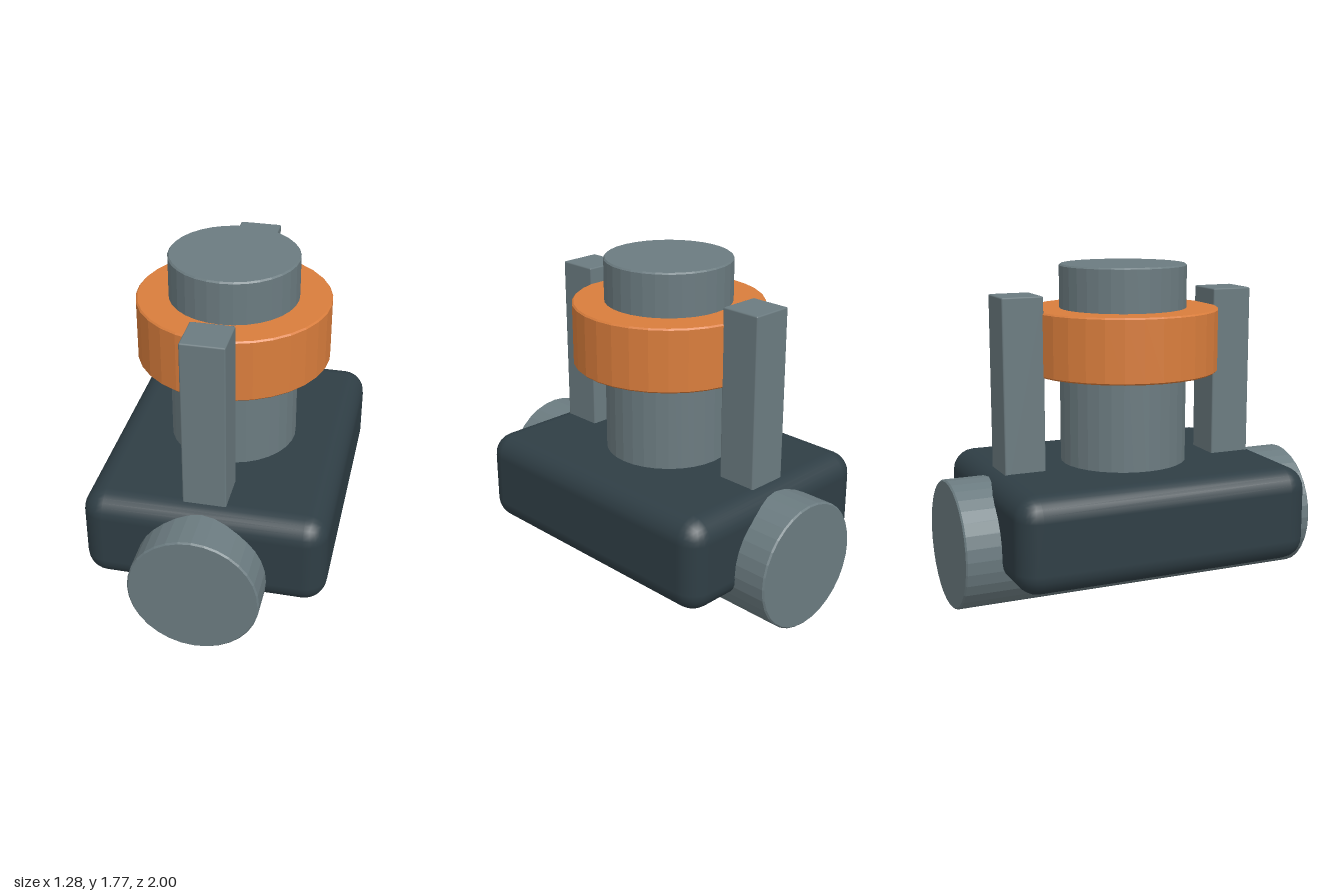
import * as THREE from 'three';
import { RoundedBoxGeometry } from 'three/addons/geometries/RoundedBoxGeometry.js';

const SEGMENTS = 32;
const BEVEL = 0.008;

// Faceted normals, one per face
function faceted(geometry) {
  const flat = geometry.toNonIndexed();
  flat.computeVertexNormals();
  return flat;
}

// Turned solid with slightly bevelled rims; inner = 0 gives a closed cylinder
function turned(inner, outer, y0, y1) {
  const b = BEVEL;
  const profile = [
    [inner, y0], [outer - b, y0], [outer, y0 + b],
    [outer, y1 - b], [outer - b, y1], [inner, y1],
  ];
  if (inner > 0) profile.push([inner, y0]);
  return faceted(new THREE.LatheGeometry(profile.map(([x, y]) => new THREE.Vector2(x, y)), SEGMENTS));
}

export function createModel() {
  const model = new THREE.Group();
  const steel = new THREE.MeshStandardMaterial({ color: 0x6b7b80 });
  steel.name = 'greySteel';
  const orange = new THREE.MeshStandardMaterial({ color: 0xd97d3c });
  orange.name = 'orange';
  const dark = new THREE.MeshStandardMaterial({ color: 0x2f3e45 });
  dark.name = 'darkSlate';

  function add(name, geometry, material, x = 0, y = 0, z = 0) {
    const mesh = new THREE.Mesh(geometry, material);
    mesh.name = name;
    mesh.position.set(x, y, z);
    model.add(mesh);
    return mesh;
  }

  // Rounded body block
  add('body', new RoundedBoxGeometry(1.28, 0.508, 1.624, 3, 0.12), dark, 0, 0.459, 0);

  // Horizontal pipe running front to back through the body
  const pipe = add('pipe', turned(0, 0.342, -1, 1), steel, 0, 0.342, 0);
  pipe.rotation.x = Math.PI / 2;

  // Upright stem and its collar
  add('stem', turned(0, 0.341, 0.4, 1.775), steel);
  add('collar', turned(0.33, 0.511, 1.205, 1.543), orange);

  // Yoke posts at the front and back of the collar
  for (const [name, side] of [['frontPost', 1], ['backPost', -1]]) {
    add(name, new RoundedBoxGeometry(0.227, 1.03, 0.224, 1, BEVEL), steel, 0, 1.115, side * 0.602);
  }
  return model;
}
